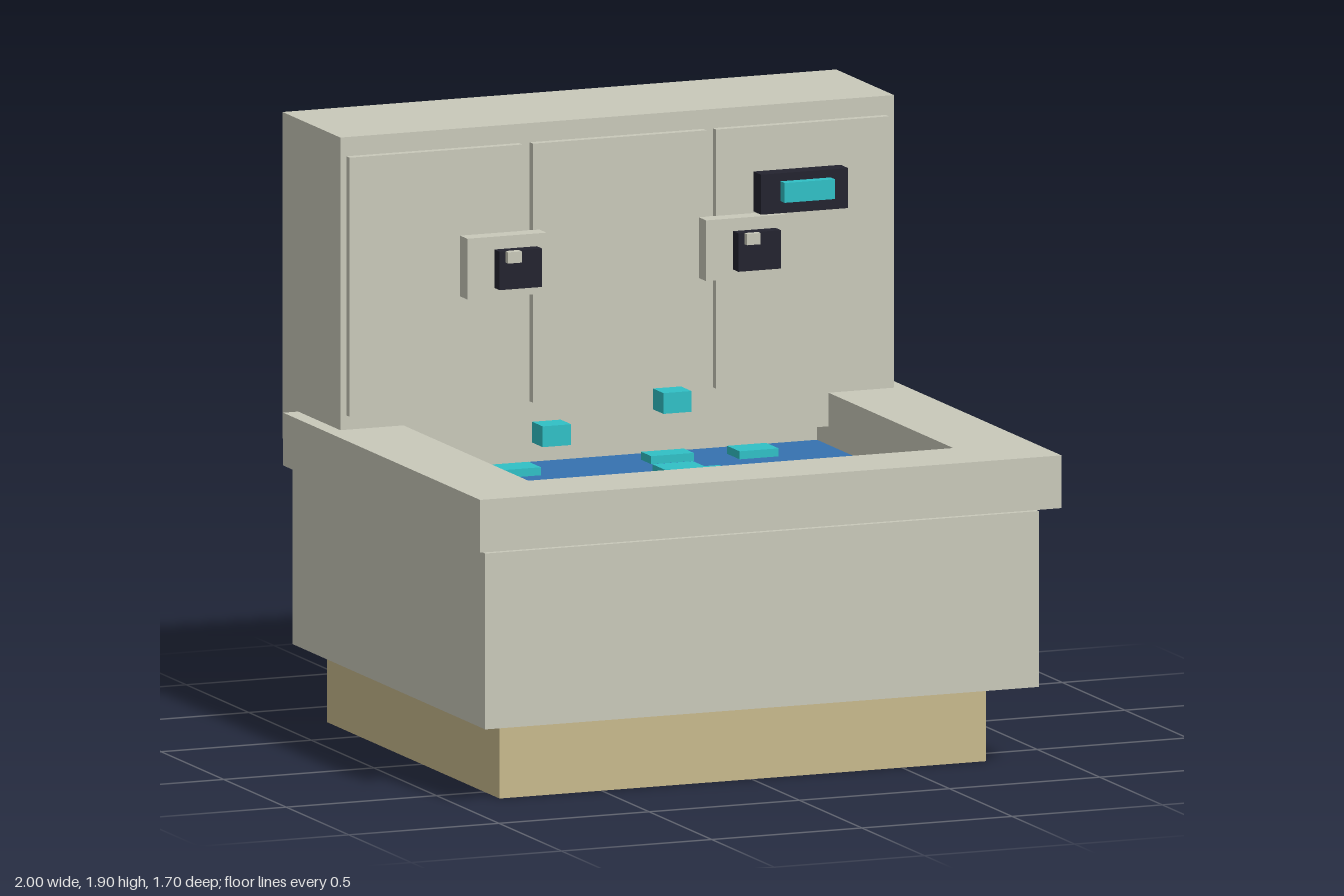
import * as THREE from 'three';

const mat = (name, color) => {
  const m = new THREE.MeshStandardMaterial({ color });
  m.name = name;
  return m;
};

export function createModel() {
  const stone = mat('stone', 0xc9c9ba);
  const sand = mat('sand', 0xc8b98c);
  const blue = mat('water blue', 0x3572b0);
  const dark = mat('dark navy', 0x23232f);
  const cyan = mat('cyan', 0x30c0c6);

  const model = new THREE.Group();
  model.name = 'washTub';

  // Box given by its limits on each axis
  const box = (name, material, [x0, x1], [y0, y1], [z0, z1], parent = model) => {
    const mesh = new THREE.Mesh(new THREE.BoxGeometry(x1 - x0, y1 - y0, z1 - z0), material);
    mesh.position.set((x0 + x1) / 2, (y0 + y1) / 2, (z0 + z1) / 2);
    mesh.name = name;
    parent.add(mesh);
    return mesh;
  };
  const group = (name) => {
    const g = new THREE.Group();
    g.name = name;
    model.add(g);
    return g;
  };

  // Base and tub
  box('plinth', sand, [-0.84, 0.78], [0, 0.25], [-0.76, 0.62]);
  box('tubBody', stone, [-0.95, 0.893], [0.25, 0.8], [-0.77, 0.77]);
  box('water', blue, [-0.74, 0.675], [0.8, 0.822], [-0.5, 0.63]);

  // Rim with an open middle
  const rimShape = new THREE.Shape([[-1, -0.85], [0.935, -0.85], [0.935, 0.725], [-1, 0.725]]
    .map(([x, y]) => new THREE.Vector2(x, y)));
  rimShape.holes.push(new THREE.Path([[-0.74, -0.61], [-0.74, 0.48], [0.675, 0.48], [0.675, -0.61]]
    .map(([x, y]) => new THREE.Vector2(x, y))));
  const rimGeometry = new THREE.ExtrudeGeometry(rimShape, { depth: 0.165, bevelEnabled: false });
  rimGeometry.rotateX(-Math.PI / 2);
  const rim = new THREE.Mesh(rimGeometry, stone);
  rim.position.y = 0.82;
  rim.name = 'rim';
  model.add(rim);

  // Back cabinet with three door panels
  box('backCabinet', stone, [-0.95, 0.893], [0.88, 1.9], [-0.85, -0.388]);
  for (const x of [[-0.93, -0.355], [-0.32, 0.258], [0.29, 0.865]]) {
    box('doorPanel', stone, x, [1.03, 1.84], [-0.39, -0.362]);
  }

  // Two taps: plate, knob and small nub
  for (const x of [-0.43, 0.365]) {
    const tap = group('tap');
    box('tapPlate', stone, [x - 0.132, x + 0.132], [1.38, 1.57], [-0.365, -0.305], tap);
    box('tapKnob', dark, [x - 0.042, x + 0.1], [1.41, 1.53], [-0.305, -0.263], tap);
    box('tapNub', stone, [x - 0.022, x + 0.024], [1.495, 1.53], [-0.27, -0.243], tap);
  }

  // Display
  box('displayFrame', dark, [0.415, 0.705], [1.575, 1.7], [-0.365, -0.303]);
  box('displayScreen', cyan, [0.48, 0.647], [1.613, 1.675], [-0.31, -0.27]);

  // Flat foam pieces on the water
  const foam = group('foam');
  for (const [x0, x1, z0, z1] of [
    [0.048, 0.19, -0.38, -0.3], [0, 0.135, -0.175, -0.075], [0.02, 0.185, -0.085, 0.015],
    [-0.63, -0.465, -0.1, 0], [-0.495, -0.35, 0.055, 0.15], [-0.185, -0.075, 0.32, 0.42],
    [0.205, 0.325, 0.36, 0.46], [0.33, 0.46, -0.37, -0.27], [-0.47, -0.335, -0.36, -0.26],
  ]) box('foamPiece', cyan, [x0, x1], [0.815, 0.847], [z0, z1], foam);

  // Floating bubbles
  box('bubble', cyan, [-0.495, -0.4], [0.99, 1.055], [0.053, 0.137]);
  box('bubble', cyan, [-0.093, 0], [1.065, 1.13], [0.053, 0.137]);

  // Stepped side plaque with plain raised blocks
  const plaque = group('sidePlaque');
  for (const [y0, y1, z0, z1] of [
    [0.72, 0.77, -0.15, 0.19], [0.55, 0.72, -0.22, 0.26], [0.5, 0.55, -0.22, 0.12],
    [0.445, 0.5, -0.15, 0.12], [0.28, 0.445, -0.08, 0.12],
  ]) box('plaqueStep', dark, [0.89, 0.96], [y0, y1], [z0, z1], plaque);
  box('plaqueBlock', blue, [0.955, 1], [0.56, 0.715], [-0.15, 0.12], plaque);
  box('plaqueBlock', blue, [0.955, 1], [0.335, 0.385], [-0.02, 0.052], plaque);

  return model;
}
